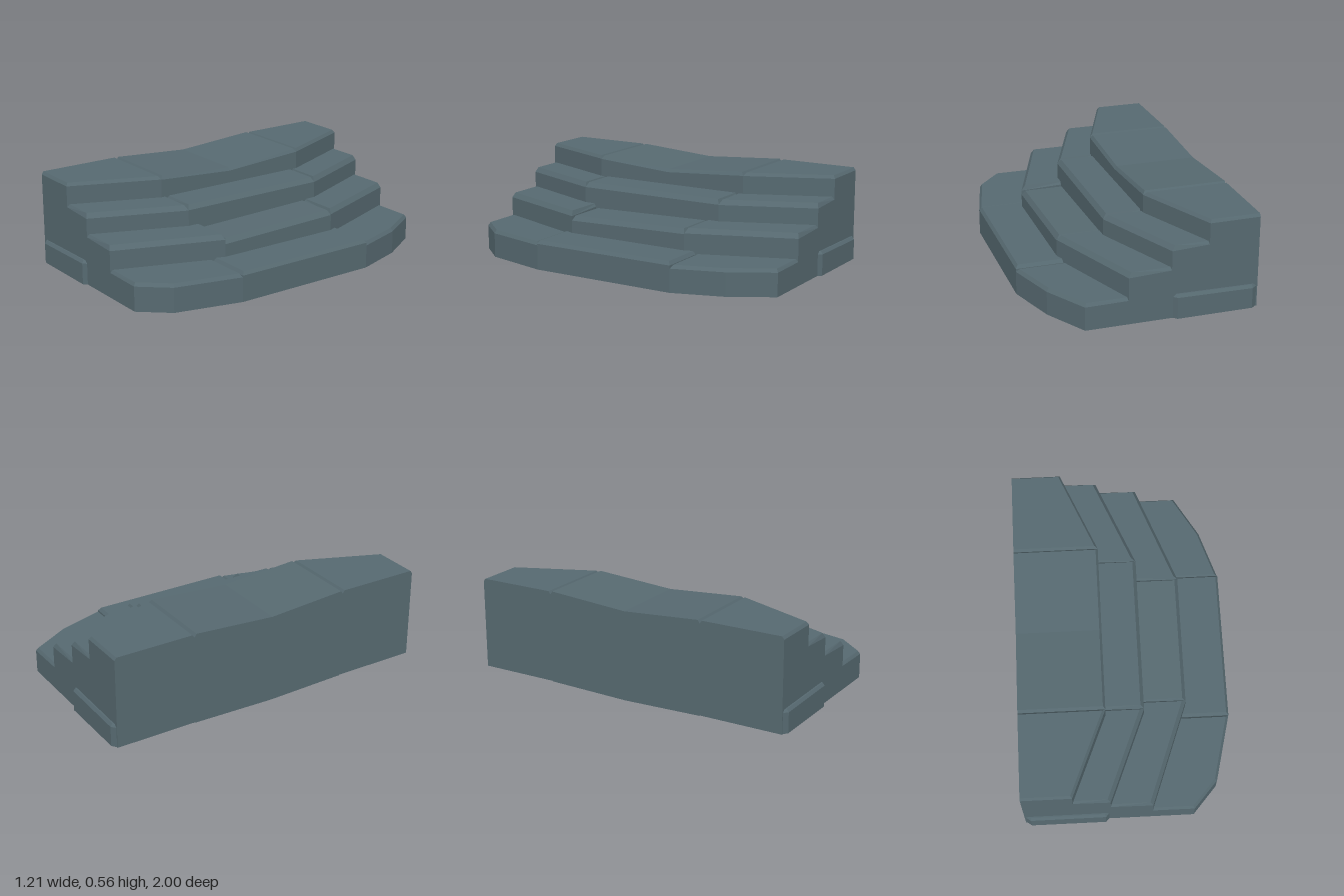
import * as THREE from 'three';

const END = 0.98;   // z of the side faces
const BACK = -0.605; // x of the flat rear face
const FLOOR = 0.015;

const stone = new THREE.MeshStandardMaterial({ color: 0x566970 });
stone.name = 'slate stone';

// Shift every edge of an outline inward by its own amount and intersect neighbours
function inset(outline, sign) {
  const lines = outline.map(([x, z, b], i) => {
    const [nx, nz] = outline[(i + 1) % outline.length];
    const len = Math.hypot(nx - x, nz - z);
    const dx = (nx - x) / len, dz = (nz - z) / len;
    return { x: x - dz * b * sign, z: z + dx * b * sign, dx, dz };
  });
  return lines.map((l, i) => {
    const p = lines[(i + lines.length - 1) % lines.length];
    const det = p.dx * l.dz - p.dz * l.dx;
    if (Math.abs(det) < 1e-4) return [l.x, l.z];
    const t = ((l.x - p.x) * l.dz - (l.z - p.z) * l.dx) / det;
    return [p.x + p.dx * t, p.z + p.dz * t];
  });
}

// Convex block with a chamfered top; outline entries are [x, z, chamfer of the edge that starts here]
function block(name, outline, top, bottom = () => FLOOR) {
  const n = outline.length;
  let area = 0;
  outline.forEach(([x, z], i) => {
    const [nx, nz] = outline[(i + 1) % n];
    area += x * nz - nx * z;
  });
  const sign = Math.sign(area);
  const inner = inset(outline, sign);
  const loops = [
    outline.map(([x, z]) => [x, bottom(x, z), z]),
    // a corner between two unchamfered edges stays at full height
    outline.map(([x, z, b], i) => {
      const c = Math.max(b, outline[(i + n - 1) % n][2]);
      return [x, top(x, z) - c * 1.4, z];
    }),
    inner.map(([x, z]) => [x, top(x, z), z]),
  ];
  const pos = [];
  const tri = (a, b, c) => pos.push(...a, ...(sign > 0 ? [...c, ...b] : [...b, ...c]));
  for (let k = 0; k < 2; k++) {
    for (let i = 0; i < n; i++) {
      const j = (i + 1) % n;
      tri(loops[k][i], loops[k][j], loops[k + 1][j]);
      tri(loops[k][i], loops[k + 1][j], loops[k + 1][i]);
    }
  }
  for (let i = 1; i < n - 1; i++) {
    tri(loops[2][0], loops[2][i], loops[2][i + 1]);
    tri(loops[0][0], loops[0][i + 1], loops[0][i]);
  }
  const geo = new THREE.BufferGeometry();
  geo.setAttribute('position', new THREE.Float32BufferAttribute(pos, 3));
  geo.computeVertexNormals();
  const mesh = new THREE.Mesh(geo, stone);
  mesh.name = name;
  return mesh;
}

// Steps from bottom to top: inner and outer x at the side face and along the middle,
// seam z on both sides, heights of left wing, middle and right wing
const steps = [
  { name: 'firstStep', inEnd: 0.13, outEnd: 0.37, inMid: 0.30, outMid: 0.604, seam: [0.435, -0.45], h: [0.178, 0.187, 0.17], round: [0.82, -0.74], b: 0.014 },
  { name: 'secondStep', inEnd: -0.11, outEnd: 0.13, inMid: 0.05, outMid: 0.353, seam: [0.37, -0.39], h: [0.315, 0.298, 0.312], b: 0.02 },
  { name: 'thirdStep', inEnd: -0.32, outEnd: -0.11, inMid: -0.16, outMid: 0.105, seam: [0.445, -0.465], h: [0.434, 0.435, 0.434], b: 0.02 },
  { name: 'topStep', inEnd: BACK, outEnd: -0.32, inMid: BACK, outMid: -0.115, seam: [0.48, -0.5], h: [0.558, 0.558, 0.556], b: 0.013 },
];

export function createModel() {
  const group = new THREE.Group();
  group.name = 'stoneSteps';

  for (const s of steps) {
    const step = new THREE.Group();
    step.name = s.name;
    const isTop = s.name === 'topStep';

    // Angled wings at both ends
    [1, -1].forEach((side, i) => {
      const z = side * END, seam = s.seam[i];
      const outline = [[s.inEnd, z, 0.012], [s.outEnd, z, s.b]];
      if (s.round) outline.push([0.51, s.round[i], s.b]);
      outline.push([s.outMid, seam, 0.012], [s.inMid, seam, 0]);
      step.add(block(side > 0 ? 'leftWing' : 'rightWing', outline, () => s.h[i * 2]));
    });

    // Straight middle; the topmost one is worn down in the centre
    const [a, b] = s.seam;
    const sag = (x, z) => s.h[1] - (isTop ? 0.033 * Math.max(0, 1 - Math.abs(z) / 0.44) : 0);
    const tilt = (x, z) => sag(x, z) + (s.name === 'secondStep' ? -z * 0.025 : 0);
    const base = (x, z) => (isTop && x < -0.5 ? 0.012 * Math.min(1, Math.abs(z) / 0.45) : FLOOR);
    step.add(block('middle', [
      [s.inMid, 0, 0], [s.inMid, a, 0.014], [s.outMid, a, s.b],
      [s.outMid, 0, s.b], [s.outMid, b, 0.014], [s.inMid, b, 0],
    ], tilt, base));
    group.add(step);
  }

  // Low plinths against both side faces
  for (const side of [1, -1]) {
    group.add(block(side > 0 ? 'leftPlinth' : 'rightPlinth', [
      [BACK, side * 0.9, 0], [BACK, side * 0.975, 0.01],
      [-0.57, side, 0.012], [-0.14, side, 0.012],
      [-0.115, side * 0.975, 0.012], [-0.115, side * 0.9, 0],
    ], (x) => 0.15 + (x + 0.6) * 0.012));
  }
  return group;
}
